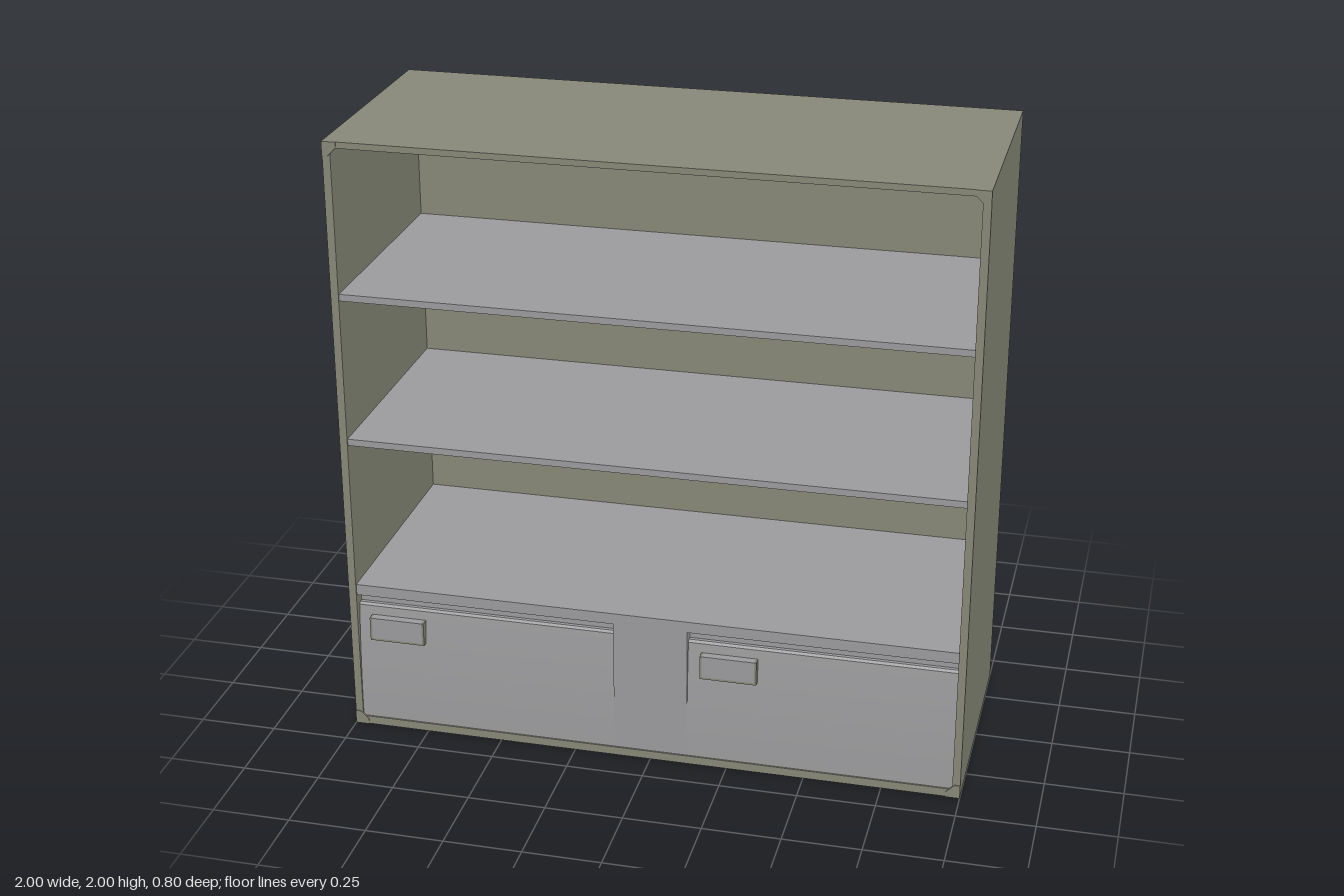
import * as THREE from 'three';
import { toCreasedNormals } from 'three/addons/utils/BufferGeometryUtils.js';

const olive = new THREE.MeshStandardMaterial({ color: 0x868777 });
olive.name = 'olive paint';
const grey = new THREE.MeshStandardMaterial({ color: 0x9b9b9d });
grey.name = 'grey metal';

const BACK = -0.4, FRONT = 0.395, T = 0.025, INNER = 1 - T;

// Box given by its minimum and maximum corners
function box(parent, name, mat, x0, x1, y0, y1, z0, z1) {
  const mesh = new THREE.Mesh(new THREE.BoxGeometry(x1 - x0, y1 - y0, z1 - z0), mat);
  mesh.position.set((x0 + x1) / 2, (y0 + y1) / 2, (z0 + z1) / 2);
  mesh.name = name;
  parent.add(mesh);
  return mesh;
}

// Drawer front: gently curved face with a finger groove along its top
function drawerGeometry(width) {
  const s = new THREE.Shape();
  s.moveTo(0.3, 0.028);
  s.lineTo(0.39, 0.028);
  for (let i = 1; i <= 10; i++) {
    const t = i / 10;
    s.lineTo(0.39 - 0.02 * t * t, 0.028 + 0.402 * t);
  }
  s.lineTo(0.362, 0.437);
  s.lineTo(0.35, 0.437);
  s.lineTo(0.35, 0.458);
  s.lineTo(0.388, 0.475);
  s.lineTo(0.3, 0.475);
  s.closePath();
  const g = new THREE.ExtrudeGeometry(s, { depth: width, bevelEnabled: false });
  g.rotateY(-Math.PI / 2);
  return toCreasedNormals(g, 0.4);
}

export function createModel() {
  const model = new THREE.Group();
  model.name = 'storageCabinet';

  // Outer case
  const shell = new THREE.Group();
  shell.name = 'case';
  model.add(shell);
  box(shell, 'rightSide', olive, -1, -INNER, 0, 2, BACK, FRONT);
  box(shell, 'leftSide', olive, INNER, 1, 0, 2, BACK, FRONT);
  box(shell, 'topPanel', olive, -INNER, INNER, 2 - 0.02, 2, BACK, FRONT);
  box(shell, 'bottomPanel', olive, -INNER, INNER, 0, 0.028, BACK, FRONT);
  box(shell, 'backPanel', olive, -INNER, INNER, 0.028, 1.98, BACK, BACK + 0.015);

  // Small corner gussets on the front frame
  const tri = new THREE.Shape();
  tri.moveTo(0, 0);
  tri.lineTo(0.045, 0);
  tri.lineTo(0.045, 0.018);
  tri.lineTo(0.018, 0.045);
  tri.lineTo(0, 0.045);
  tri.closePath();
  const gusset = new THREE.ExtrudeGeometry(tri, { depth: 0.006, bevelEnabled: false });
  [[-1, 0, 0], [1, 0, Math.PI / 2], [1, 2, Math.PI], [-1, 2, -Math.PI / 2]].forEach(([x, y, r]) => {
    const m = new THREE.Mesh(gusset, olive);
    m.name = 'cornerGusset';
    m.position.set(x, y, FRONT - 0.003);
    m.rotation.z = r;
    shell.add(m);
  });

  // Two open shelves and the counter above the drawers
  for (const top of [1.512, 1.026]) {
    box(model, 'shelf', grey, -INNER, INNER, top - 0.022, top, BACK + 0.015, 0.39);
  }
  box(model, 'counter', grey, -INNER, INNER, 0.475, 0.512, BACK + 0.015, 0.39);
  box(model, 'centrePost', grey, -0.12, 0.12, 0.028, 0.475, 0.3, 0.39);

  // Drawers, each with a label holder near its right-hand end
  const front = drawerGeometry(INNER - 0.12);
  [[-INNER, -0.12], [0.12, INNER]].forEach(([x0, x1]) => {
    const drawer = new THREE.Group();
    drawer.name = 'drawer';
    const face = new THREE.Mesh(front, grey);
    face.name = 'drawerFront';
    face.position.x = x1;
    drawer.add(face);
    const h = x0 + 0.043;
    box(drawer, 'holderLeftEdge', olive, h + 0.175, h + 0.182, 0.32, 0.4, 0.36, 0.4);
    box(drawer, 'holderRightEdge', olive, h, h + 0.007, 0.32, 0.4, 0.36, 0.4);
    box(drawer, 'holderBottomEdge', olive, h + 0.007, h + 0.175, 0.32, 0.327, 0.36, 0.4);
    box(drawer, 'labelPlate', grey, h + 0.007, h + 0.175, 0.327, 0.4, 0.36, 0.4);
    model.add(drawer);
  });

  return model;
}
